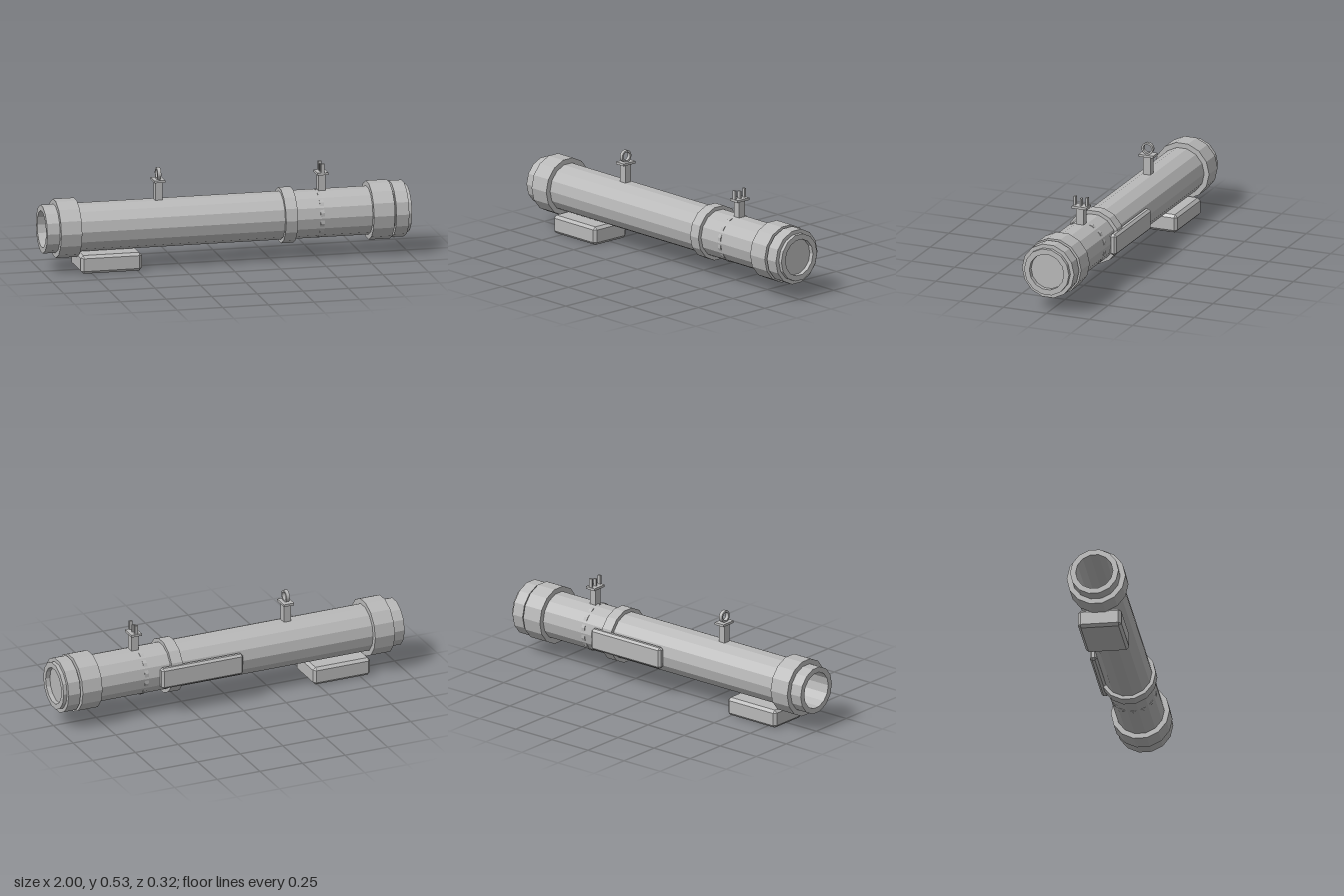
import * as THREE from 'three';
import { ConvexGeometry } from 'three/addons/geometries/ConvexGeometry.js';

const AXIS_Y = 0.232; // height of the tube's centre line
const SIDES = 14;

export function createModel() {
  const model = new THREE.Group();
  model.name = 'tubeModel';
  const grey = new THREE.MeshStandardMaterial({ color: 0xb8b8b8 });
  grey.name = 'grey';
  grey.flatShading = true;

  function add(name, geometry, x, y, z, parent = model) {
    const flat = geometry.index ? geometry.toNonIndexed() : geometry;
    flat.computeVertexNormals();
    const mesh = new THREE.Mesh(flat, grey);
    mesh.name = name;
    mesh.position.set(x, y, z);
    parent.add(mesh);
    return mesh;
  }

  // Turned part lying along x, from [radius, x] pairs
  function turned(name, profile, turn = 0) {
    const points = profile.map(([r, x]) => new THREE.Vector2(r, x));
    const geometry = new THREE.LatheGeometry(points, SIDES, turn);
    geometry.rotateZ(-Math.PI / 2);
    return add(name, geometry, 0, AXIS_Y, 0);
  }

  // Box with every edge cut at 45 degrees
  function chamferedBox(w, h, d, c) {
    const points = [];
    for (const sx of [-1, 1]) for (const sy of [-1, 1]) for (const sz of [-1, 1]) {
      for (let axis = 0; axis < 3; axis++) {
        const p = [w, h, d].map((size, i) => size / 2 - (i === axis ? 0 : c));
        points.push(new THREE.Vector3(sx * p[0], sy * p[1], sz * p[2]));
      }
    }
    return new ConvexGeometry(points);
  }

  // Hollow tube: open at the left end, recessed cap at the right end
  turned('tube', [
    [0, 0.94], [0.1, 0.94], [0.1, -1], [0.13, -1],
    [0.13, 1], [0.1, 1], [0.1, 0.975], [0, 0.975],
  ]);

  // Collars around the tube
  const collars = [
    ['rearCollar', -0.93, -0.815, 0.158],
    ['middleCollar', 0.305, 0.37, 0.15],
    ['frontCollar', 0.785, 0.9, 0.158],
    ['muzzleCollar', 0.91, 0.98, 0.151],
  ];
  for (const [name, x0, x1, r] of collars) {
    turned(name, [[0.12, x0], [r, x0], [r, x1], [0.12, x1]]);
  }

  // Thin seam ring, turned by half a side so only its corners stand out
  turned('seamRing', [[0.12, 0.5], [0.131, 0.5], [0.131, 0.522], [0.12, 0.522]], Math.PI / SIDES);

  // Pad below and panel on the back
  add('shoulderPad', chamferedBox(0.335, 0.1, 0.233, 0.015), -0.643, 0.05, 0.001);
  add('sidePanel', chamferedBox(0.48, 0.118, 0.04, 0.012), 0.195, 0.224, -0.138);

  // Sight base: post with a small plate on top
  function sight(name, x, plateY) {
    const group = new THREE.Group();
    group.name = name;
    group.position.x = x;
    model.add(group);
    const bottom = 0.34;
    add('post', new THREE.BoxGeometry(0.04, plateY - bottom, 0.043), 0, (plateY + bottom) / 2, 0, group);
    add('plate', new THREE.BoxGeometry(0.06, 0.013, 0.086), 0, plateY + 0.0065, 0, group);
    return group;
  }

  // Rear sight with a ring
  const rearSight = sight('rearSight', -0.362, 0.458);
  const outline = new THREE.Shape().absarc(0, 0, 0.033, 0, Math.PI * 2, false);
  outline.holes.push(new THREE.Path().absarc(0, 0, 0.023, 0, Math.PI * 2, true));
  const ring = new THREE.ExtrudeGeometry(outline, { depth: 0.02, bevelEnabled: false, curveSegments: 20 });
  ring.translate(0, 0, -0.01).rotateY(Math.PI / 2);
  add('ring', ring, 0, 0.501, 0.001, rearSight);

  // Front sight with three prongs
  const frontSight = sight('frontSight', 0.532, 0.448);
  for (const [z, top] of [[-0.034, 0.51], [0, 0.501], [0.036, 0.51]]) {
    add('prong', new THREE.BoxGeometry(0.018, top - 0.455, 0.011), 0, (top + 0.455) / 2, z, frontSight);
  }

  return model;
}
